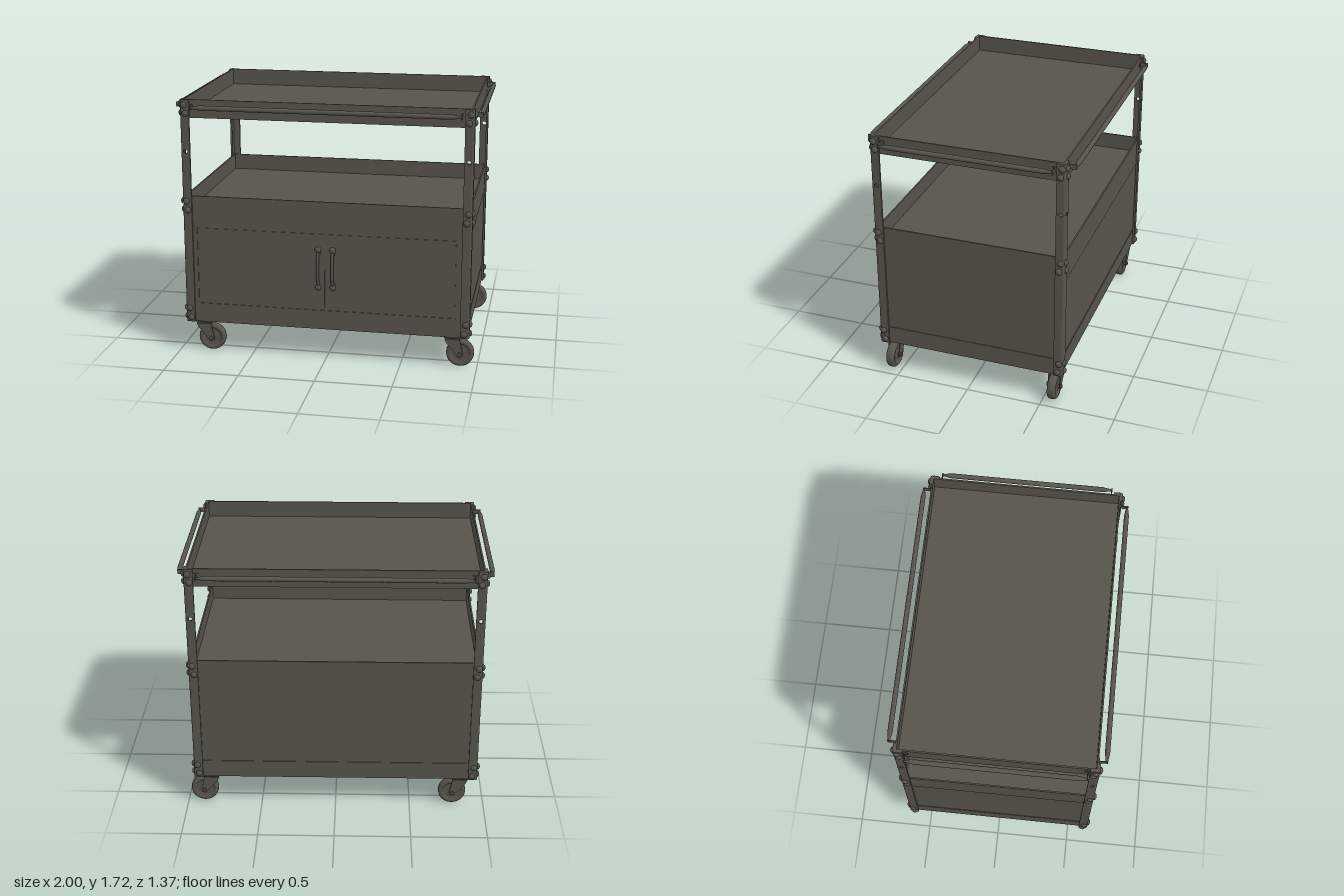
import * as THREE from 'three';

const paint = new THREE.MeshStandardMaterial({ color: 0x56544a });
paint.name = 'olive grey paint';

function add(parent, name, geo, x = 0, y = 0, z = 0) {
  const m = new THREE.Mesh(geo, paint);
  m.name = name;
  m.position.set(x, y, z);
  parent.add(m);
  return m;
}

// box given by its lower and upper bounds
function box(parent, name, x0, x1, y0, y1, z0, z1) {
  return add(parent, name, new THREE.BoxGeometry(x1 - x0, y1 - y0, z1 - z0),
    (x0 + x1) / 2, (y0 + y1) / 2, (z0 + z1) / 2);
}

// four thin walls around a rectangle
function walls(parent, name, X, Z, y0, y1, t = 0.01) {
  for (const s of [-1, 1]) {
    add(parent, name, new THREE.BoxGeometry(2 * X, y1 - y0, t), 0, (y0 + y1) / 2, s * (Z - t / 2));
    add(parent, name, new THREE.BoxGeometry(t, y1 - y0, 2 * Z - 2 * t), s * (X - t / 2), (y0 + y1) / 2, 0);
  }
}

function tray(name, y0, y1, floorY) {
  const g = new THREE.Group();
  g.name = name;
  walls(g, name + 'Wall', 0.935, 0.62, y0, y1);
  box(g, name + 'Floor', -0.925, 0.925, floorY - 0.01, floorY, -0.61, 0.61);
  return g;
}

const T = 0.014, Y0 = 0.21, Y1 = 1.72;

// one leg of an angle post, lying in the xy plane with a peg hole
function legGeometry() {
  const s = new THREE.Shape();
  s.moveTo(T, Y0).lineTo(0.06, Y0).lineTo(0.06, Y1).lineTo(T, Y1).closePath();
  const hole = new THREE.Path();
  hole.absarc(0.03, 1.38, 0.013, 0, Math.PI * 2, true);
  s.holes.push(hole);
  return new THREE.ExtrudeGeometry(s, { depth: T, bevelEnabled: false, curveSegments: 12 });
}

// domed bolt head, axis along +y
const boltGeo = new THREE.LatheGeometry(
  [[0.021, 0], [0.021, 0.005], [0.016, 0.012], [0.008, 0.016], [0, 0.017]].map(p => new THREE.Vector2(...p)), 14);

// angle post whose outer corner is at the origin, legs along +x and +z
function post() {
  const g = new THREE.Group();
  g.name = 'cornerPost';
  add(g, 'postLeg', legGeometry());
  const side = add(g, 'postLeg', legGeometry(), 0, 0, 0);
  side.rotation.y = -Math.PI / 2;
  side.position.x = T;
  add(g, 'postEdge', new THREE.CylinderGeometry(T, T, Y1 - Y0, 6, 1, false, Math.PI, Math.PI / 2),
    T, (Y0 + Y1) / 2, T);
  // paired bolts at each shelf
  [[1.685, 0.025], [1.63, 0.035], [1.045, 0.025], [0.985, 0.035], [0.305, 0.025], [0.24, 0.035]].forEach(([y, d]) => {
    add(g, 'bolt', boltGeo, d, y, 0).rotation.x = -Math.PI / 2;
    add(g, 'bolt', boltGeo, 0, y, d).rotation.z = Math.PI / 2;
  });
  return g;
}

// rail along x with tapered ends and thin brackets reaching back to the tray
function rail(half, gap) {
  const g = new THREE.Group();
  g.name = 'pushRail';
  const pts = [[0, -half], [0.006, -half], [0.016, -half + 0.06], [0.016, half - 0.06], [0.006, half], [0, half]];
  add(g, 'railBar', new THREE.LatheGeometry(pts.map(p => new THREE.Vector2(...p)), 14)).rotation.z = Math.PI / 2;
  for (const s of [-1, 1]) {
    box(g, 'railBracket', s * half - 0.003, s * half + 0.003, -0.016, 0.016, -gap, 0.008);
    box(g, 'railFoot', s * half - 0.02, s * half + 0.02, -0.016, 0.016, -gap, -gap + 0.006);
  }
  return g;
}

function caster() {
  const g = new THREE.Group();
  g.name = 'caster';
  const off = 0.05, wy = 0.092;
  box(g, 'casterPlate', -0.055, 0.055, 0.2, 0.212, -0.045, 0.045);
  add(g, 'swivel', new THREE.CylinderGeometry(0.03, 0.035, 0.018, 16), 0, 0.194, 0);
  box(g, 'forkCrown', -0.05, 0.05, 0.185, 0.191, -0.042, 0.042);
  // side plates of the fork narrow down to the axle
  const f = new THREE.Shape();
  f.moveTo(-0.05, 0.191).lineTo(-0.04, 0.165).lineTo(off - 0.02, wy - 0.008);
  f.absarc(off, wy, 0.022, Math.PI * 1.1, Math.PI * 2, false);
  f.lineTo(0.055, 0.16).lineTo(0.05, 0.191).closePath();
  const fork = new THREE.ExtrudeGeometry(f, { depth: 0.006, bevelEnabled: false });
  add(g, 'forkSide', fork, 0, 0, 0.036);
  add(g, 'forkSide', fork, 0, 0, -0.042);
  // wheel with a hub and a rounded tread
  const w = [[0, -0.024], [0.03, -0.024], [0.034, -0.018], [0.062, -0.018], [0.066, -0.028], [0.082, -0.027], [0.09, -0.018], [0.092, 0]];
  const prof = w.concat(w.slice(0, -1).reverse().map(([r, h]) => [r, -h]));
  add(g, 'wheel', new THREE.LatheGeometry(prof.map(p => new THREE.Vector2(...p)), 32), off, wy, 0).rotation.x = Math.PI / 2;
  add(g, 'axle', new THREE.CylinderGeometry(0.012, 0.012, 0.104, 12), off, wy, 0).rotation.x = Math.PI / 2;
  return g;
}

function doorHandle() {
  const g = new THREE.Group();
  g.name = 'doorHandle';
  const path = new THREE.CatmullRomCurve3([[-0.125, 0], [-0.1, 0.008], [-0.07, 0.019], [0, 0.023], [0.07, 0.019], [0.1, 0.008], [0.125, 0]]
    .map(([y, z]) => new THREE.Vector3(0, y, z)));
  add(g, 'handleGrip', new THREE.TubeGeometry(path, 28, 0.01, 10), 0, 0, 0);
  for (const s of [-1, 1]) {
    box(g, 'handleFoot', -0.015, 0.015, s * 0.12 - 0.025, s * 0.12 + 0.025, -0.005, 0.006);
    add(g, 'handleScrew', boltGeo, 0, s * 0.128, 0.002).rotation.x = Math.PI / 2;
  }
  return g;
}

export function createModel() {
  const cart = new THREE.Group();
  cart.name = 'utilityCart';

  // shelves
  cart.add(tray('topTray', 1.6, 1.72, 1.61), tray('middleTray', 0.88, 1.08, 0.97), tray('baseTray', 0.21, 0.33, 0.22));

  // cabinet panels set slightly inside the trays
  walls(cart, 'cabinetPanel', 0.931, 0.615, 0.325, 0.885);

  // door frame and doors with a narrow shadow gap
  for (const s of [-1, 1]) {
    add(cart, 'doorFrameSide', new THREE.BoxGeometry(0.075, 0.55, 0.008), s * 0.8975, 0.605, 0.617);
    add(cart, 'door', new THREE.BoxGeometry(0.844, 0.516, 0.008), s * 0.427, 0.605, 0.616);
    const h = doorHandle();
    h.position.set(s * 0.048, 0.63, 0.62);
    cart.add(h);
  }
  box(cart, 'doorFrameTop', -0.86, 0.86, 0.869, 0.88, 0.613, 0.62);
  box(cart, 'doorFrameBottom', -0.86, 0.86, 0.33, 0.341, 0.613, 0.62);

  // posts at the four corners, each turned so its legs point inward
  for (const [x, z, a] of [[-1, -1, 0], [-1, 1, 1], [1, 1, 2], [1, -1, 3]]) {
    const p = post();
    p.position.set(x * 0.948, 0, z * 0.634);
    p.rotation.y = a * Math.PI / 2;
    cart.add(p);
  }

  // rails on all four sides
  for (let i = 0; i < 4; i++) {
    const onEnd = i % 2 === 1;
    const r = onEnd ? rail(0.56, 0.049) : rail(0.868, 0.051);
    const a = i * Math.PI / 2, d = onEnd ? 0.984 : 0.669;
    r.rotation.y = a;
    r.position.set(Math.sin(a) * d, 1.675, Math.cos(a) * d);
    cart.add(r);
  }

  // casters, all trailing the same way
  for (const x of [-0.837, 0.837]) for (const z of [-0.565, 0.565]) {
    const c = caster();
    c.position.set(x, 0, z);
    cart.add(c);
  }
  return cart;
}
